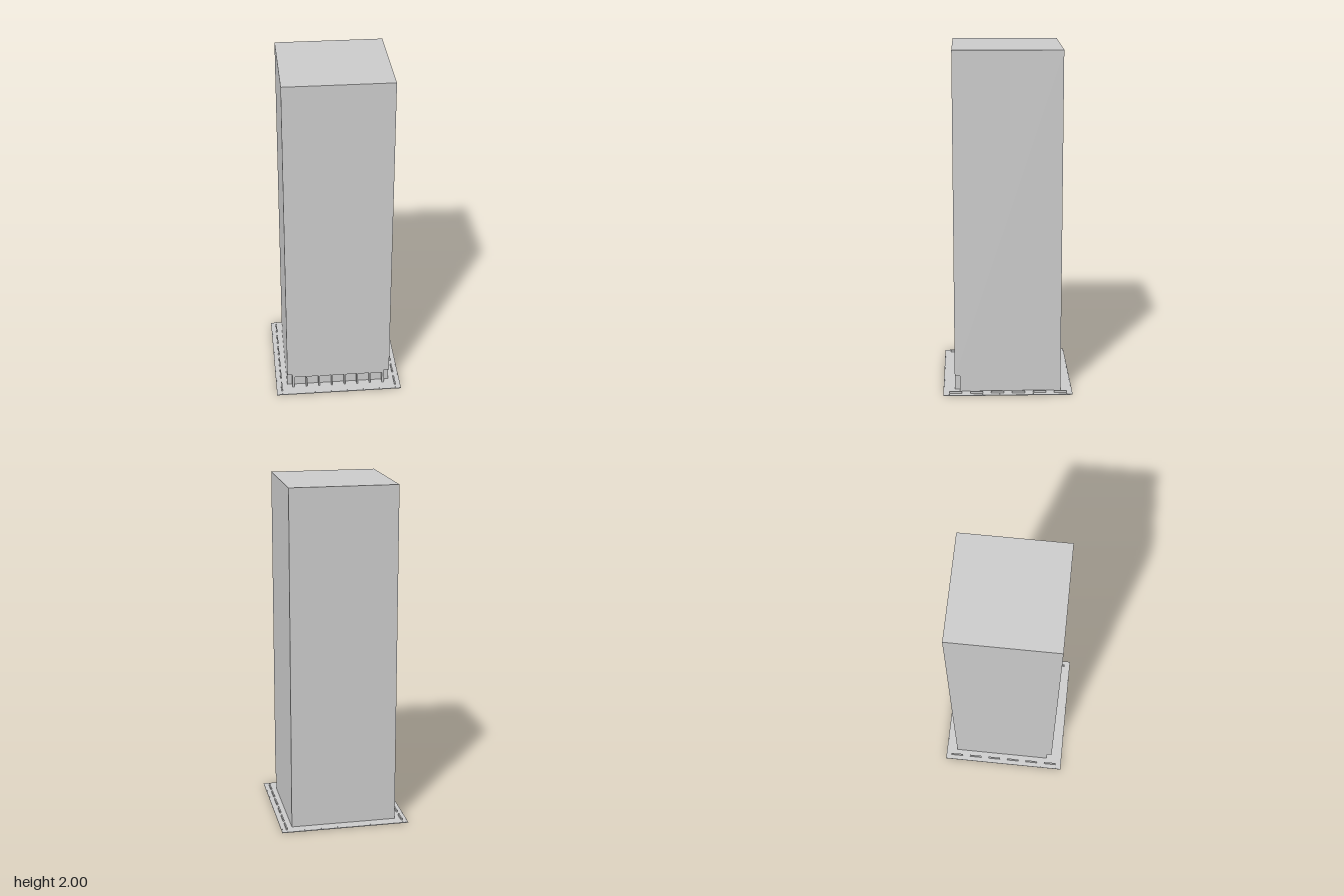
import * as THREE from 'three';

const material = new THREE.MeshStandardMaterial({ color: 0xcccccc, flatShading: true });

export function createModel() {
  const model = new THREE.Group();

  // Box given by its minimum and maximum along each axis
  function block(parent, name, [x0, x1], [y0, y1], [z0, z1]) {
    const mesh = new THREE.Mesh(new THREE.BoxGeometry(x1 - x0, y1 - y0, z1 - z0), material);
    mesh.position.set((x0 + x1) / 2, (y0 + y1) / 2, (z0 + z1) / 2);
    mesh.name = name;
    parent.add(mesh);
  }

  function group(name) {
    const g = new THREE.Group();
    g.name = name;
    model.add(g);
    return g;
  }

  const half = 0.31, recess = 0.28, plate = 0.377, ground = 0.004;

  // Paved plate and tower shaft
  block(model, 'basePlate', [-plate, plate], [0, ground], [-plate, plate]);
  block(model, 'towerShaft', [-half, half], [0.097, 2], [-half, half]);
  block(model, 'groundFloor', [-half, half], [ground, 0.097], [-half, recess]);

  // Entrance front: lintel over seven bays divided by fins, with open corners
  const entrance = group('entrance');
  block(entrance, 'lintel', [-recess, recess], [0.078, 0.097], [recess, half]);
  const pitch = 0.0775, bay = 0.069;
  for (let i = 0; i < 8; i++) {
    const left = i === 0 ? -recess : -3.5 * pitch + (i - 1) * pitch + (pitch + bay) / 2;
    const right = i === 7 ? recess : -3.5 * pitch + i * pitch + (pitch - bay) / 2;
    block(entrance, 'fin', [left, right], [ground, 0.078], [recess, half]);
  }

  // Rows of low walls on both sides
  const walls = group('lowWalls');
  for (const side of [-1, 1]) {
    for (let i = 0; i < 6; i++) {
      const x = side * 0.345, z = -0.3065 + i * 0.1222;
      block(walls, 'lowWall', [x - 0.004, x + 0.004], [ground, 0.016], [z - 0.0375, z + 0.0375]);
    }
  }

  // Tiny posts around the plate edge
  const posts = group('edgePosts');
  const r = 0.0008, edge = 0.373;
  for (const side of [-1, 1]) {
    for (let i = 0; i < 8; i++) {
      const t = -0.343 + i * 0.098;
      for (const [x, z] of [[t, side * edge], [side * edge, t]]) {
        block(posts, 'post', [x - r, x + r], [ground, 0.011], [z - r, z + r]);
      }
    }
  }

  return model;
}
